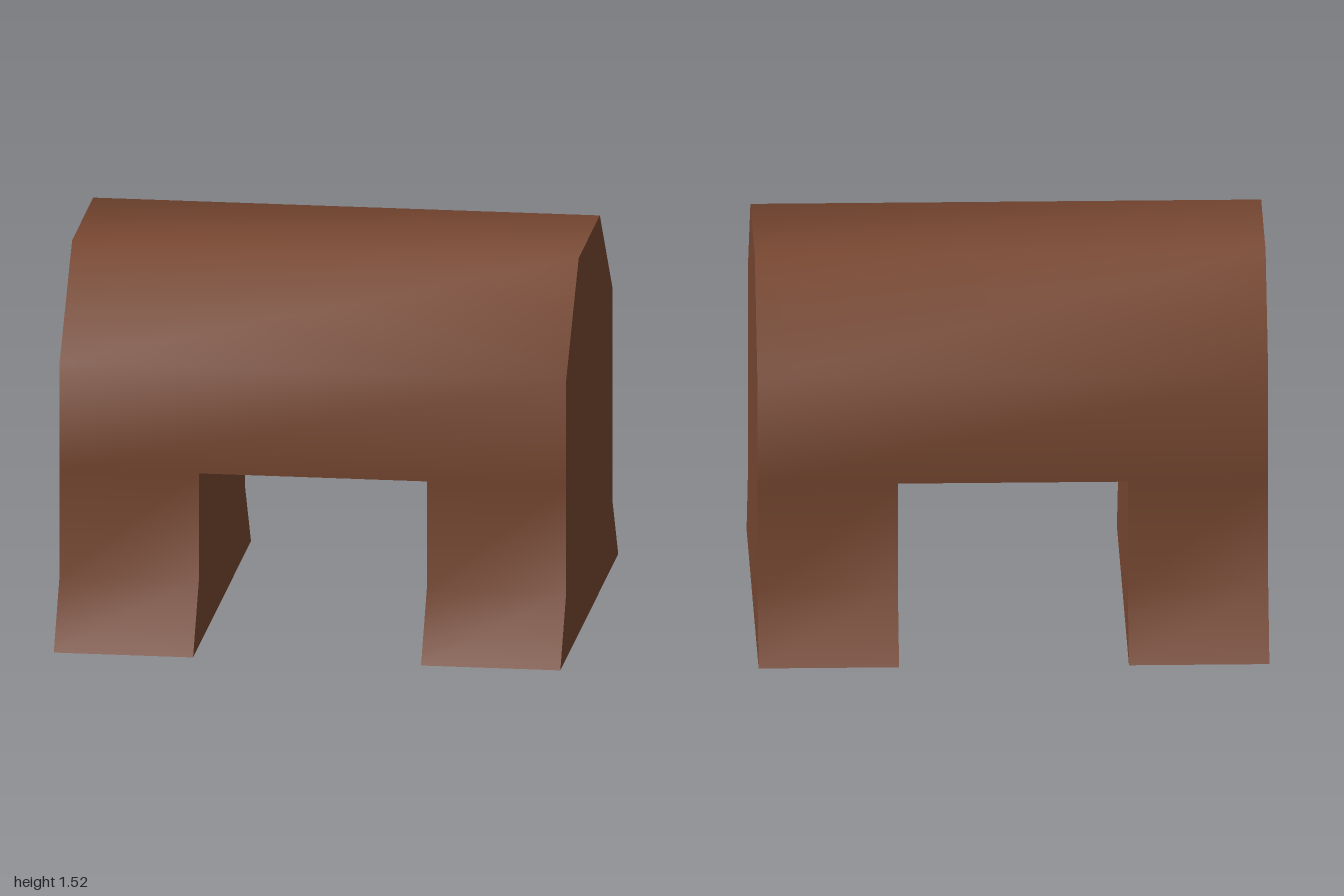
import * as THREE from 'three';
import { toCreasedNormals } from 'three/addons/utils/BufferGeometryUtils.js';

// Mirrors a half outline (bottom to top) and extrudes it along x, smoothing the gentle bends.
function prism(half, x0, x1) {
  const mirrored = half.map(([z, y]) => [-z, y]).reverse();
  const shape = new THREE.Shape([...half, ...mirrored].map(([z, y]) => new THREE.Vector2(z, y)));
  const geometry = new THREE.ExtrudeGeometry(shape, { depth: x1 - x0, bevelEnabled: false });
  geometry.rotateY(Math.PI / 2).translate(x0, 0, 0);
  return toCreasedNormals(geometry, Math.PI / 3);
}

export function createModel() {
  const model = new THREE.Group();
  model.name = 'archedBlock';

  const brown = new THREE.MeshStandardMaterial({ color: 0x774731 });
  brown.name = 'brown';

  const add = (name, geometry) => {
    const mesh = new THREE.Mesh(geometry, brown);
    mesh.name = name;
    model.add(mesh);
  };

  // Full-width upper body with sloped shoulders
  const archHeight = 0.7;
  add('upperBody', prism([[0.69, archHeight], [0.69, 1.13], [0.315, 1.525]], -1, 1));

  // Two legs with flared feet on either side of the passage
  const leg = [[0.863, 0], [0.69, 0.265], [0.69, archHeight]];
  add('leftLeg', prism(leg, 0.45, 1));
  add('rightLeg', prism(leg, -1, -0.45));

  return model;
}
